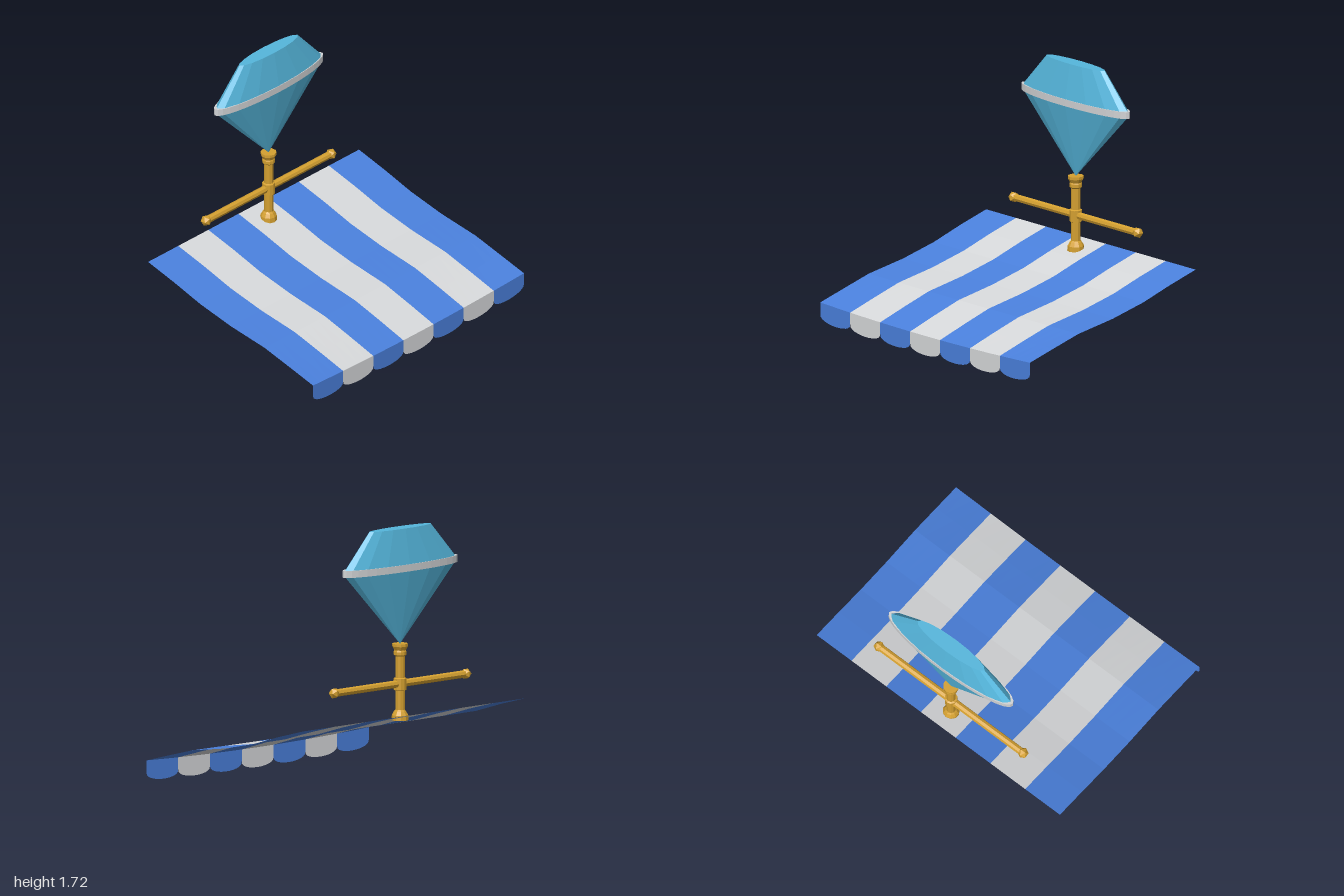
import * as THREE from 'three';

const mat = (name, color, side = THREE.FrontSide) =>
  new THREE.MeshStandardMaterial({ name, color, side });

// Split shared vertices so every facet is shaded flat
function facet(geo) {
  const g = geo.index ? geo.toNonIndexed() : geo;
  g.computeVertexNormals();
  return g;
}

function add(parent, name, geo, material, x = 0, y = 0, z = 0) {
  const mesh = new THREE.Mesh(geo, material);
  mesh.name = name;
  mesh.position.set(x, y, z);
  parent.add(mesh);
  return mesh;
}

const lathe = (points, sides) =>
  new THREE.LatheGeometry(points.map(([r, y]) => new THREE.Vector2(r, y)), sides);

// Cloth slope from back to front: z, height, sag at the middle
const SLOPE = [
  [-0.73, 0.51, 0], [-0.5, 0.447, 0], [-0.27, 0.376, 0], [0, 0.316, 0],
  [0.3, 0.271, 0.004], [0.52, 0.213, 0.012], [0.727, 0.157, 0.022],
];
const STRIPES = 7, WIDTH = 2 / STRIPES, SEGS = 4;
const sagAt = (x) => 1 - x * x;

// One strip of the sloping cloth
function stripeGeometry(cx) {
  const g = new THREE.PlaneGeometry(WIDTH, 1, SEGS, SLOPE.length - 1).rotateX(-Math.PI / 2);
  const p = g.attributes.position;
  for (let i = 0; i < p.count; i++) {
    const [z, y, sag] = SLOPE[Math.floor(i / (SEGS + 1))];
    const x = p.getX(i) + cx;
    p.setXYZ(i, x, y - sag * sagAt(x), z);
  }
  return facet(g);
}

// Rounded flap hanging from the front edge of a strip
function flapGeometry(cx) {
  const top = (x) => 0.157 - 0.022 * sagAt(x);
  const left = cx - WIDTH / 2, right = cx + WIDTH / 2;
  const s = new THREE.Shape();
  s.moveTo(right, top(right));
  for (let i = 0; i <= SEGS; i++) s.lineTo(right - (WIDTH * i) / SEGS, top(right - (WIDTH * i) / SEGS));
  for (let i = 0; i <= 12; i++) {
    const a = Math.PI * (1 - i / 12);
    const x = cx + Math.cos(a) * WIDTH / 2;
    s.lineTo(x, top(x) - 0.08 - 0.05 * Math.pow(Math.sin(a), 0.8));
  }
  return new THREE.ShapeGeometry(s);
}

export function createModel() {
  const blue = mat('blue cloth', 0x4a80dc, THREE.DoubleSide);
  const pale = mat('pale cloth', 0xd6d8da, THREE.DoubleSide);
  const gold = mat('gold', 0xd4a030);
  const cyan = mat('cyan gem', 0x55b6dc);
  const silver = mat('silver', 0xd0d2d4);

  const model = new THREE.Group();
  model.name = 'awningWithGem';

  // Striped awning
  const awning = new THREE.Group();
  awning.name = 'awning';
  model.add(awning);
  for (let i = 0; i < STRIPES; i++) {
    const cx = -1 + WIDTH * (i + 0.5);
    const cloth = i % 2 ? pale : blue;
    add(awning, 'stripe' + i, stripeGeometry(cx), cloth);
    add(awning, 'flap' + i, flapGeometry(cx), cloth, 0, 0, 0.727);
  }

  // Sign stand and gem share one upright axis
  const sign = new THREE.Group();
  sign.name = 'sign';
  sign.position.z = -0.597;
  model.add(sign);

  // Turned post with foot, middle collar and cap
  const post = [
    [0, 0.462], [0.056, 0.462], [0.054, 0.495], [0.04, 0.52], [0.031, 0.53],
    [0.031, 0.655], [0.042, 0.66], [0.042, 0.735], [0.031, 0.74],
    [0.031, 0.88], [0.042, 0.89], [0.042, 0.91], [0.038, 0.92],
    [0.052, 0.945], [0.052, 0.963], [0, 0.963],
  ];
  add(sign, 'post', facet(lathe(post, 10)), gold);

  // Crossbar with faceted end knobs
  const bar = new THREE.CylinderGeometry(0.025, 0.025, 1.18, 8).rotateZ(Math.PI / 2);
  add(sign, 'crossbar', facet(bar), gold, 0, 0.7, 0);
  for (const side of [-1, 1])
    add(sign, side > 0 ? 'leftKnob' : 'rightKnob',
      facet(new THREE.IcosahedronGeometry(0.037, 0)), gold, side * 0.592, 0.7, 0);

  // Flattened cut gem with a band around its widest part
  const gem = [[0, 0.96], [0.25, 1.207], [0.492, 1.447], [0.492, 1.49], [0.275, 1.72], [0, 1.72]];
  add(sign, 'gem', facet(lathe(gem, 16).scale(1, 1, 0.187)), cyan);
  const band = [[0.485, 1.445], [0.508, 1.445], [0.508, 1.491], [0.485, 1.491]];
  add(sign, 'gemBand', facet(lathe(band, 32).scale(1, 1, 0.187)), silver);

  return model;
}
